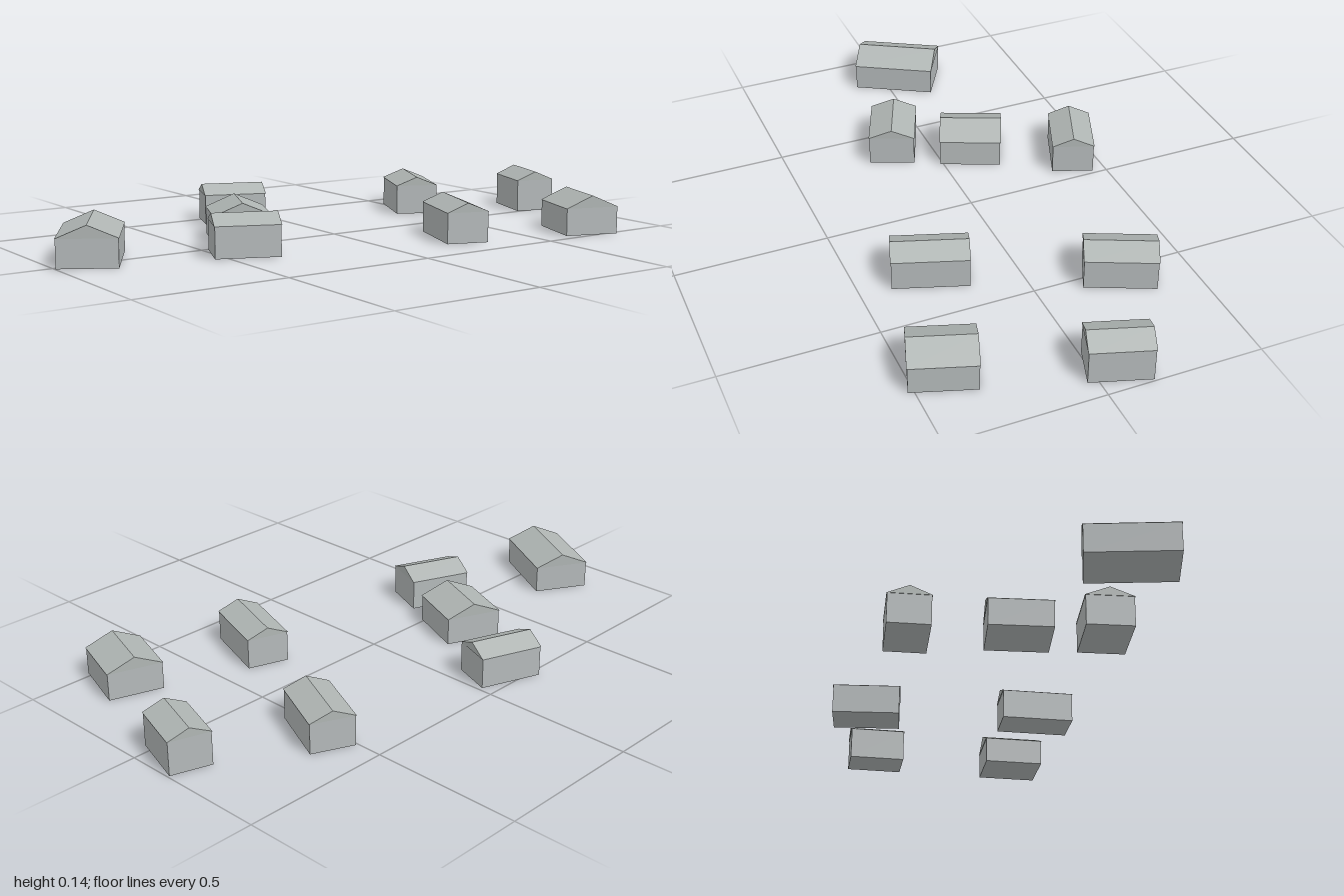
import * as THREE from 'three';

const wallMaterial = new THREE.MeshStandardMaterial({ name: 'pale grey wall', color: 0xb4b9ba });
const roofMaterial = new THREE.MeshStandardMaterial({ name: 'grey roof', color: 0xb0b6b4 });
const LIP = 0.002; // tiny roof overhang on every side

// One gabled house, ridge along its local z
function makeHouse(width, length, eave, ridge) {
  const house = new THREE.Group();

  const walls = new THREE.Mesh(
    new THREE.BoxGeometry(width - 2 * LIP, eave, length - 2 * LIP), wallMaterial);
  walls.name = 'walls';
  walls.position.y = eave / 2;

  const gable = new THREE.Shape([
    new THREE.Vector2(-width / 2, eave),
    new THREE.Vector2(width / 2, eave),
    new THREE.Vector2(0, ridge),
  ]);
  const roofGeometry = new THREE.ExtrudeGeometry(gable, { depth: length, bevelEnabled: false });
  roofGeometry.translate(0, 0, -length / 2);
  const roof = new THREE.Mesh(roofGeometry, roofMaterial);
  roof.name = 'gableRoof';

  house.add(walls, roof);
  return house;
}

export function createModel() {
  const village = new THREE.Group();
  village.name = 'village';

  // centre x, centre z, ridge direction x and z, width, length, eave, ridge
  const houses = [
    [-0.848, -0.058, -26.5, 45.5, 0.189, 0.28, 0.09, 0.13],
    [-0.135, -0.427, 37, 14, 0.142, 0.211, 0.1, 0.13],
    [-0.294, -0.12, -15.5, 36, 0.189, 0.209, 0.09, 0.13],
    [-0.416, 0.12, 36, 15, 0.156, 0.208, 0.1, 0.13],
    [0.525, -0.279, -18, 39.5, 0.147, 0.232, 0.1, 0.13],
    [0.9, -0.08, -11.5, 35, 0.138, 0.197, 0.11, 0.14],
    [0.297, 0.263, -15, 43.5, 0.141, 0.246, 0.1, 0.13],
    [0.723, 0.393, -12.5, 37, 0.183, 0.209, 0.09, 0.13],
  ];
  houses.forEach(([x, z, dx, dz, ...size], i) => {
    const house = makeHouse(...size);
    house.name = `house${i + 1}`;
    house.position.set(x, 0, z);
    house.rotation.y = Math.atan2(dx, dz);
    village.add(house);
  });
  return village;
}
